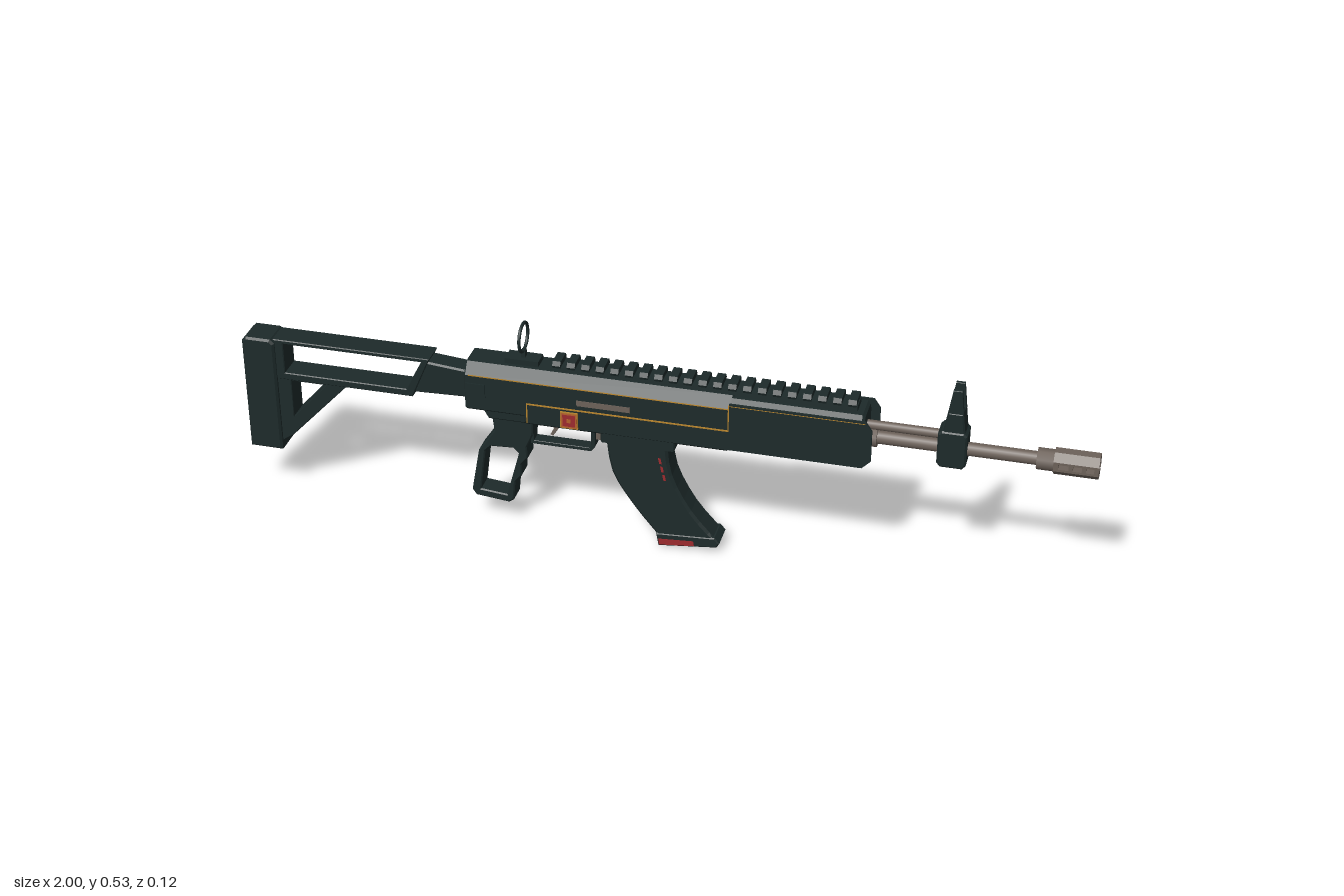
import * as THREE from 'three';

const mat = (name, color) => {
  const m = new THREE.MeshStandardMaterial({ color });
  m.name = name;
  return m;
};

export function createModel() {
  const body = mat('dark green body', 0x1d2a2a);
  const steel = mat('warm grey steel', 0x6c6159);
  const gold = mat('gold trim', 0xb5822c);
  const red = mat('red accent', 0x9c2a2e);
  const orange = mat('orange badge frame', 0xb4602c);
  const g = new THREE.Group();
  g.name = 'rifle';

  const add = (name, geo, m, x = 0, y = 0, z = 0) => {
    const mesh = new THREE.Mesh(geo, m);
    mesh.name = name;
    mesh.position.set(x, y, z);
    g.add(mesh);
    return mesh;
  };
  // box given by its x and y limits, z centre and half width
  const box = (name, x0, x1, y0, y1, hz, m = body, z = 0) =>
    add(name, new THREE.BoxGeometry(x1 - x0, y1 - y0, hz * 2), m, (x0 + x1) / 2, (y0 + y1) / 2, z);
  // outlines always run counter-clockwise, so that walls of holes face inwards
  const toShape = (pts) => {
    const v = pts.map((p) => new THREE.Vector2(...p));
    return new THREE.Shape(THREE.ShapeUtils.isClockWise(v) ? v.reverse() : v);
  };
  const extrude = (shape, depth, b) => new THREE.ExtrudeGeometry(shape, {
    depth: depth - 2 * b, bevelEnabled: b > 0, bevelSize: b, bevelThickness: b,
    bevelOffset: -b, bevelSegments: 1, curveSegments: 10,
  }).translate(0, 0, b);
  // side outline given thickness across z
  const prism = (name, pts, hz, m = body, { holes = [], b = 0.004, z = 0 } = {}) => {
    const s = toShape(pts);
    holes.forEach((h) => s.holes.push(toShape(h)));
    return add(name, extrude(s, hz * 2, b).translate(0, 0, -hz), m, 0, 0, z);
  };
  // symmetric cross-section of [half width, y] pairs run along x
  const run = (name, x0, x1, half, m = body, b = 0.003) => {
    const pts = [...half, ...half.map(([w, y]) => [-w, y]).reverse()];
    return add(name, extrude(toShape(pts), x1 - x0, b).rotateY(Math.PI / 2), m, x0);
  };
  const rod = (name, x0, x1, y, r, m = steel, n = 12) => {
    const geo = new THREE.CylinderGeometry(r, r, x1 - x0, n).rotateY(Math.PI / n).rotateZ(-Math.PI / 2);
    return add(name, geo, m, (x0 + x1) / 2, y);
  };
  const sides = [1, -1];

  // stock
  prism('buttPad', [[-1, 0.122], [-0.92, 0.122], [-0.92, 0.41], [-0.93, 0.42], [-0.99, 0.42], [-1, 0.41]], 0.039, body, { b: 0.005 });
  prism('stockFrame', [[-0.925, 0.42], [-0.54, 0.42], [-0.585, 0.315], [-0.925, 0.315]], 0.031, body,
    { holes: [[[-0.9, 0.41], [-0.56, 0.41], [-0.6, 0.333], [-0.9, 0.333]]], b: 0.002 });
  prism('stockBrace', [[-0.925, 0.32], [-0.745, 0.32], [-0.895, 0.16], [-0.925, 0.14]], 0.029, body,
    { holes: [[[-0.887, 0.312], [-0.8, 0.312], [-0.887, 0.215]]], b: 0.002 });
  prism('stockNeck', [[-0.55, 0.41], [-0.44, 0.4], [-0.44, 0.33], [-0.58, 0.325]], 0.026);

  // receiver
  run('upperReceiver', -0.45, 0.18, [[0.04, 0.31], [0.05, 0.318], [0.05, 0.405], [0.03, 0.432]]);
  run('lowerReceiver', -0.31, 0.17, [[0.035, 0.287], [0.048, 0.3], [0.048, 0.345]]);
  prism('gripMount', [[-0.42, 0.32], [-0.29, 0.32], [-0.29, 0.285], [-0.4, 0.285]], 0.034);
  box('stockLatch', -0.447, -0.4, 0.35, 0.385, 0.053);

  // handguard: core, thin side panels, nub below
  run('handguard', 0.17, 0.48, [[0.034, 0.298], [0.05, 0.315], [0.05, 0.403], [0.034, 0.427]], body, 0.006);
  for (const s of sides) {
    prism('handguardPanel', [[0.175, 0.302], [0.48, 0.302], [0.5, 0.322], [0.5, 0.4], [0.485, 0.422], [0.175, 0.422]],
      0.0025, body, { b: 0, z: s * 0.0525 });
    box('receiverPanel', -0.3, 0.175, 0.3, 0.348, 0.002, body, s * 0.0505);
    // thin gold trim lines
    box('trimMiddle', -0.3, 0.175, 0.348, 0.351, 0.002, gold, s * 0.0505);
    box('trimRear', -0.302, -0.299, 0.3, 0.351, 0.002, gold, s * 0.0505);
    box('trimFront', 0.172, 0.175, 0.35, 0.416, 0.002, gold, s * 0.0515);
    box('trimTop', -0.44, 0.175, 0.404, 0.406, 0.0015, gold, s * 0.0495);
    box('trimHandguard', 0.175, 0.485, 0.416, 0.4175, 0.0008, gold, s * 0.0547);
    // badge
    box('badgeFrame', -0.22, -0.178, 0.302, 0.344, 0.003, gold, s * 0.0535);
    box('badgeBorder', -0.218, -0.18, 0.304, 0.342, 0.0005, orange, s * 0.0567);
    box('badge', -0.214, -0.184, 0.308, 0.338, 0.0005, red, s * 0.0574);
    box('badgeMark', -0.204, -0.194, 0.318, 0.328, 0.0004, orange, s * 0.0581);
    // bolt showing at the side
    box('bolt', -0.182, -0.056, 0.362, 0.376, 0.001, steel, s * 0.0505);
  }
  const lever = box('selector', -0.03, 0.03, -0.005, 0.005, 0.002, steel);
  lever.position.set(-0.35, 0.345, -0.0515);
  lever.rotation.z = -0.9;
  prism('handguardNub', [[0.39, 0.305], [0.435, 0.305], [0.425, 0.28], [0.405, 0.28]], 0.015);
  prism('chargingHandle', [[-0.09, 0.355], [-0.045, 0.355], [-0.045, 0.382], [-0.09, 0.382]], 0.0075, gold, { b: 0.003, z: -0.0585 });

  // top rail and teeth
  run('railBase', -0.25, 0.46, [[0.026, 0.42], [0.024, 0.441]], body, 0);
  for (let i = 0; i < 21; i++) {
    const x = -0.245 + i * 0.0342;
    run('railTooth', x, x + 0.019, [[0.024, 0.438], [0.027, 0.445], [0.021, 0.455]], body, 0);
  }

  // rear ring sight
  box('rearSightBase', -0.36, -0.28, 0.43, 0.445, 0.02);
  box('rearSightPost', -0.325, -0.315, 0.44, 0.462, 0.007);
  add('rearRing', new THREE.TorusGeometry(0.034, 0.004, 8, 32).rotateY(Math.PI / 2), body, -0.32, 0.495);

  // open-frame pistol grip with finger steps
  prism('grip', [[-0.395, 0.295], [-0.295, 0.295], [-0.297, 0.25], [-0.312, 0.215], [-0.311, 0.185], [-0.327, 0.165],
    [-0.327, 0.135], [-0.343, 0.115], [-0.348, 0.065], [-0.36, 0.056], [-0.44, 0.064], [-0.45, 0.078], [-0.43, 0.19], [-0.39, 0.25]],
  0.026, body, { holes: [[[-0.4, 0.205], [-0.345, 0.208], [-0.332, 0.195], [-0.364, 0.077], [-0.428, 0.083], [-0.414, 0.19]]], b: 0.003 });

  // trigger and guard
  prism('triggerGuard', [[-0.305, 0.295], [-0.305, 0.222], [-0.16, 0.222], [-0.15, 0.235], [-0.15, 0.295]], 0.015, body,
    { holes: [[[-0.297, 0.288], [-0.297, 0.231], [-0.164, 0.231], [-0.159, 0.238], [-0.159, 0.288]]], b: 0.001 });
  prism('trigger', [[-0.262, 0.295], [-0.238, 0.295], [-0.242, 0.262], [-0.253, 0.245], [-0.26, 0.247], [-0.251, 0.265]], 0.006, steel, { b: 0.001 });
  box('magazineRelease', -0.148, -0.132, 0.255, 0.29, 0.012, steel);
  run('magazineWell', -0.13, 0.045, [[0.038, 0.266], [0.038, 0.3]]);

  // curved magazine
  const curve = (pts) => new THREE.SplineCurve(pts.map((p) => new THREE.Vector2(...p))).getPoints(9).map((p) => [p.x, p.y]);
  const rear = curve([[-0.12, 0.285], [-0.105, 0.185], [-0.055, 0.1], [0.005, 0.025]]);
  const front = curve([[0.025, 0.285], [0.037, 0.195], [0.083, 0.105], [0.143, 0.035]]);
  prism('magazine', [...rear, ...front.reverse()], 0.032, body, { b: 0.006 });
  prism('magazineFoot', [[0, 0.034], [0.006, 0], [0.145, 0.016], [0.152, 0.028], [0.14, 0.042]], 0.034, body, { b: 0.003 });
  for (const s of sides) {
    prism('footStripe', [[0.006, 0.02], [0.008, 0.004], [0.092, 0.013], [0.09, 0.026]], 0.001, red, { b: 0, z: s * 0.0336 });
    for (let i = 0; i < 3; i++) {
      const x = 0.005 + i * 0.005, y = 0.24 - i * 0.022;
      prism('magazineMark', [[x, y], [x + 0.003, y - 0.015], [x + 0.009, y - 0.015], [x + 0.006, y]], 0.0008, red, { b: 0, z: s * 0.0318 });
    }
  }

  // barrel and gas tube
  const by = 0.356;
  rod('barrel', 0.46, 0.87, by, 0.016);
  rod('gasTube', 0.46, 0.65, 0.386, 0.011);
  rod('barrelCollar', 0.47, 0.505, by, 0.024, steel, 8);

  // front sight
  prism('frontSightBase', [[0.642, 0.325], [0.65, 0.315], [0.7, 0.315], [0.708, 0.325], [0.708, 0.4], [0.7, 0.408], [0.65, 0.408], [0.642, 0.4]], 0.028);
  prism('frontSightTower', [[0.651, 0.4], [0.661, 0.457], [0.696, 0.457], [0.703, 0.4]], 0.025);
  for (const s of sides) {
    prism('frontSightEar', [[0.66, 0.45], [0.67, 0.513], [0.69, 0.513], [0.697, 0.45]], 0.0045, body, { b: 0.001, z: s * 0.019 });
  }
  add('frontSightPin', new THREE.CylinderGeometry(0.0015, 0.004, 0.045, 8), steel, 0.68, 0.476);

  // slotted muzzle: upper and lower shells joined by bridges between the slots
  rod('muzzleNeck', 0.862, 0.905, by, 0.025, steel, 8);
  const R = 0.03, c = R * Math.cos(Math.PI / 8), e = R * Math.sin(Math.PI / 8), h = 0.006;
  run('muzzleTop', 0.9, 0.994, [[c, by + h], [c, by + e], [e, by + c]], steel, 0);
  run('muzzleBottom', 0.9, 0.994, [[e, by - c], [c, by - e], [c, by - h]], steel, 0);
  for (const [x0, x1] of [[0.9, 0.911], [0.934, 0.943], [0.963, 0.972], [0.99, 0.994]]) {
    box('muzzleBridge', x0, x1, by - h, by + h, c, steel);
  }
  // front ring around a shallow bore
  const ring = toShape([[c, -e], [c, e], [e, c], [-e, c], [-c, e], [-c, -e], [-e, -c], [e, -c]]);
  ring.holes.push(new THREE.Path().absarc(0, 0, 0.0135, 0, Math.PI * 2));
  add('muzzleRing', extrude(ring, 0.006, 0).rotateY(Math.PI / 2), steel, 0.994, by);

  g.position.z = 0.0045;
  const root = new THREE.Group();
  root.name = 'model';
  root.add(g);
  return root;
}
